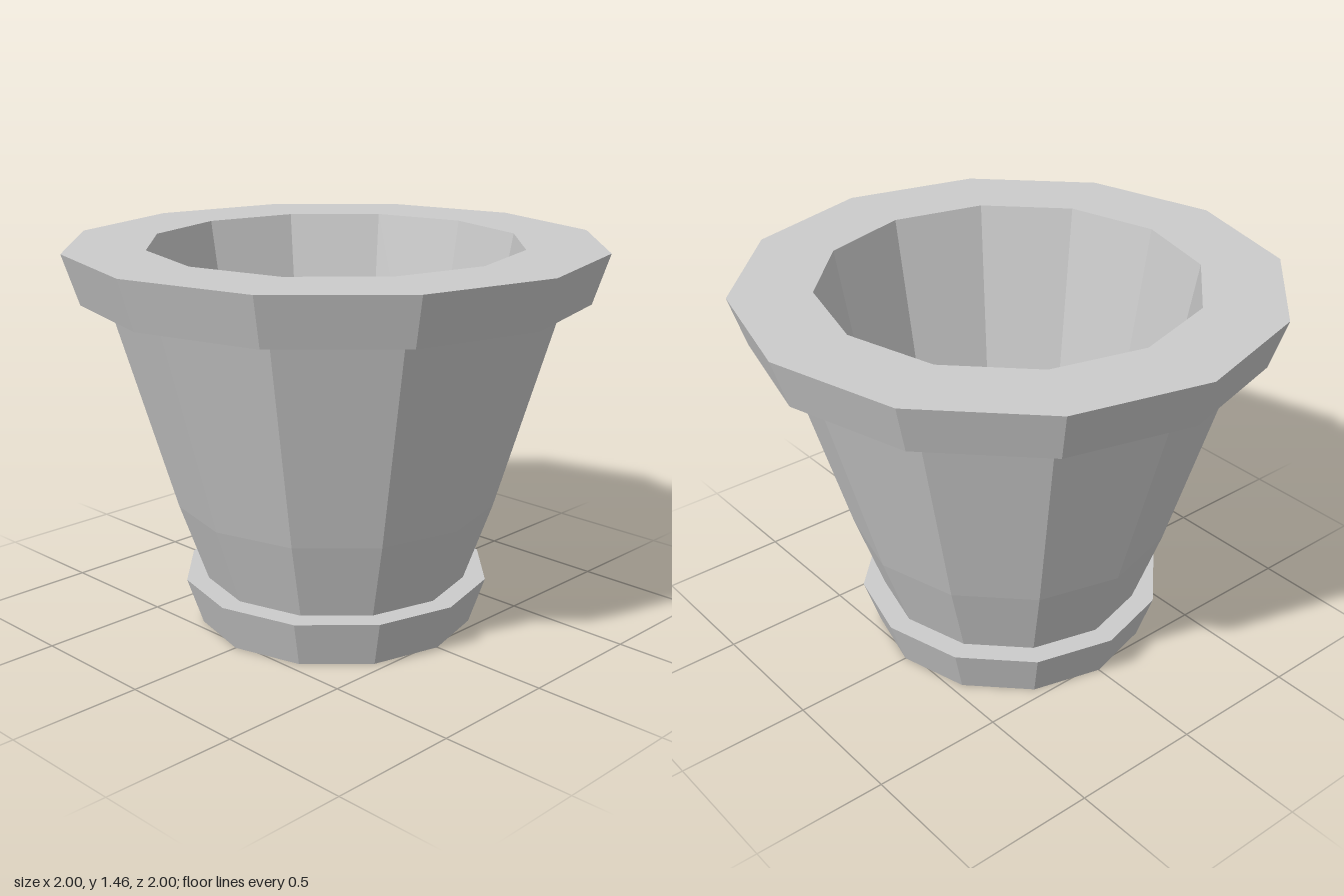
import * as THREE from 'three';

const SIDES = 12;

export function createModel() {
  const pot = new THREE.Group();
  pot.name = 'flowerPot';
  const material = new THREE.MeshStandardMaterial({ color: 0xcccccc, flatShading: true });

  // Turns a [radius, height] profile into a twelve-sided ring
  const turned = (name, profile) => {
    const points = profile.map(([r, y]) => new THREE.Vector2(r, y));
    const mesh = new THREE.Mesh(new THREE.LatheGeometry(points, SIDES), material);
    mesh.name = name;
    pot.add(mesh);
  };

  // Flared base with a flat underside and a narrow ledge
  turned('foot', [[0, 0], [0.53, 0], [0.59, 0.18], [0.505, 0.18]]);

  // Tapered outer wall with a slight bend near the bottom
  turned('outerWall', [[0.505, 0.18], [0.61, 0.48], [0.84, 1.27]]);

  // Thick overhanging lip
  turned('rim', [[0.84, 1.27], [0.94, 1.27], [1, 1.455], [0.7, 1.455]]);

  // Hollow inside, down to the floor
  turned('cavity', [[0.7, 1.455], [0.52, 0.45], [0, 0.45]]);

  return pot;
}
